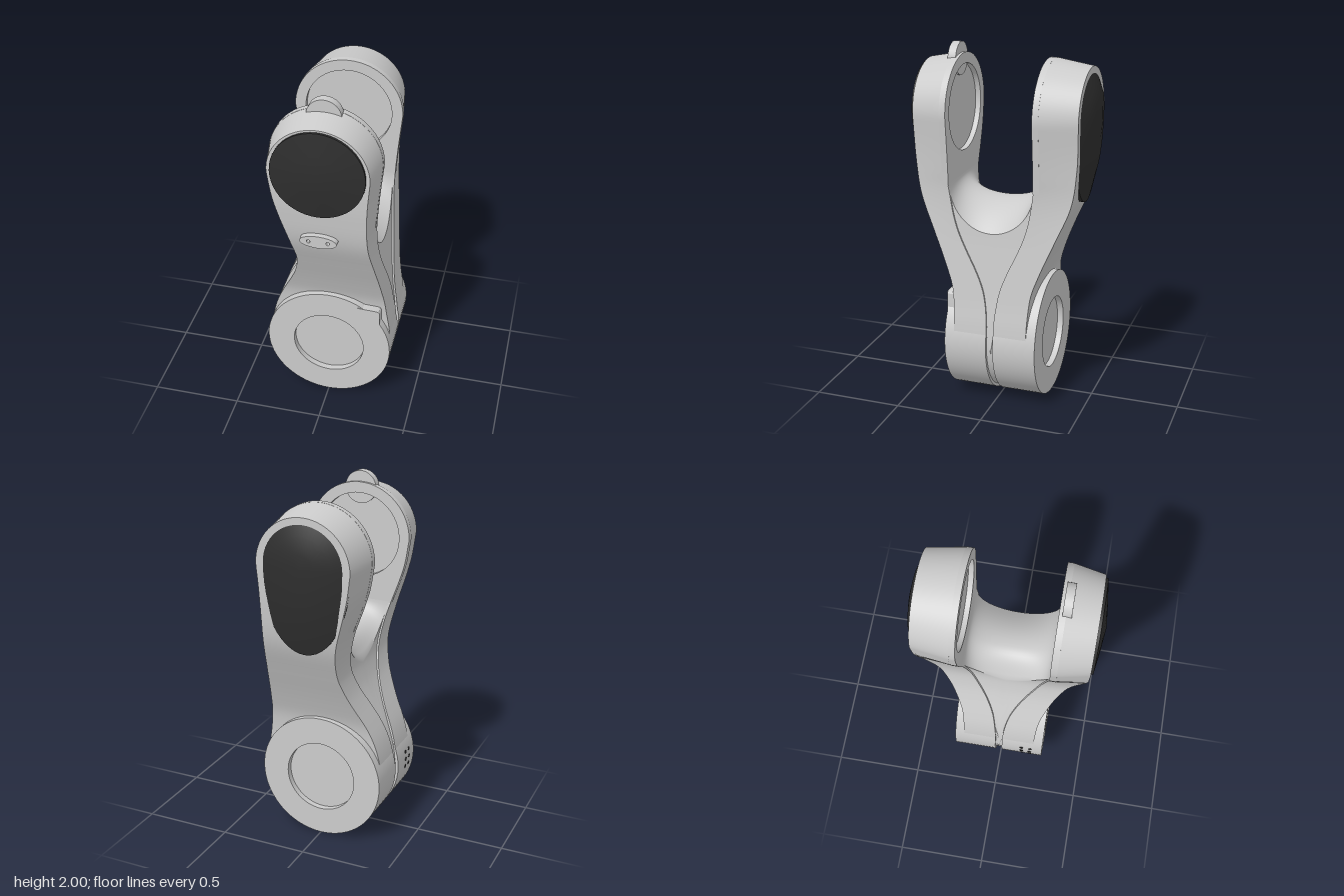
import * as THREE from 'three';
import { toCreasedNormals } from 'three/addons/utils/BufferGeometryUtils.js';

const grey = new THREE.MeshStandardMaterial({ color: 0xcccccc });
const black = new THREE.MeshStandardMaterial({ color: 0x2e2e2e });
const FOOT = 0.36, FOOT_R = 0.356, HEAD = 1.64, HEAD_R = 0.3;

// smooth interpolation through [position, value] pairs
function smooth(t, pts) {
  const n = pts.length - 1;
  if (t <= pts[0][0]) return pts[0][1];
  if (t >= pts[n][0]) return pts[n][1];
  let i = 0;
  while (t > pts[i + 1][0]) i++;
  const slope = k => {
    const a = pts[Math.max(k - 1, 0)], b = pts[Math.min(k + 1, n)];
    return (b[1] - a[1]) / (b[0] - a[0]);
  };
  const [t0, a] = pts[i], [t1, b] = pts[i + 1], h = t1 - t0, s = (t - t0) / h;
  const s2 = s * s, s3 = s2 * s;
  return a * (2 * s3 - 3 * s2 + 1) + b * (3 * s2 - 2 * s3)
    + h * (slope(i) * (s3 - 2 * s2 + s) + slope(i + 1) * (s3 - s2));
}

// half widths of the outline, thickness and seam, all by height
const NEG = [[0.36, 0.356], [0.5, 0.335], [0.6, 0.307], [0.7, 0.263], [0.8, 0.215], [0.9, 0.175], [1.03, 0.15], [1.2, 0.178], [1.4, 0.247], [1.5, 0.277], [1.64, 0.3]];
const POS = [[0.36, 0.356], [0.5, 0.343], [0.6, 0.328], [0.8, 0.303], [1, 0.28], [1.2, 0.268], [1.4, 0.278], [1.64, 0.3]];
const OUTER = [[0.5, 0.21], [0.6, 0.215], [0.7, 0.228], [0.8, 0.262], [0.9, 0.302], [1, 0.345], [1.2, 0.425], [1.4, 0.453], [1.6, 0.46]];
const SEAM = [[0.5, 0.02], [0.6, 0.03], [0.7, 0.05], [0.8, 0.09], [0.9, 0.14], [1, 0.185], [1.1, 0.215], [1.25, 0.24]];
const CORE_BASE = [[0, 0.3], [0.03, 0.5], [0.05, 0.6], [0.085, 0.7], [0.13, 0.8], [0.18, 0.9], [0.22, 1], [0.26, 1.1]];

function halfWidth(y, table) {
  if (y < FOOT) return Math.sqrt(Math.max(0, FOOT_R ** 2 - (FOOT - y) ** 2));
  if (y > HEAD) return Math.sqrt(Math.max(0, HEAD_R ** 2 - (y - HEAD) ** 2));
  return smooth(y, table);
}
const spanX = (u, y, inset = 0) => u < 0
  ? u * (halfWidth(y, NEG) - inset) : u * (halfWidth(y, POS) - inset);

// subdivided box whose vertices (-1..1) are moved by a rule
function warpedBox(nx, ny, nz, rule) {
  const g = new THREE.BoxGeometry(2, 2, 2, nx, ny, nz), p = g.attributes.position;
  for (let i = 0; i < p.count; i++) p.setXYZ(i, ...rule(p.getX(i), p.getY(i), p.getZ(i)));
  return toCreasedNormals(g, 0.6);
}

function add(parent, name, geometry, material = grey, x = 0, y = 0, z = 0) {
  const m = new THREE.Mesh(geometry, material);
  m.name = name;
  m.position.set(x, y, z);
  parent.add(m);
  return m;
}
const extrude = (shape, depth) => toCreasedNormals(
  new THREE.ExtrudeGeometry(shape, { depth, bevelEnabled: false, curveSegments: 32 }), 0.5);
const circle = (r, x = 0, y = 0) => new THREE.Path().absarc(x, y, r, 0, Math.PI * 2, true);
const turned = profile => toCreasedNormals(
  new THREE.LatheGeometry(profile.map(p => new THREE.Vector2(...p)), 48).rotateX(Math.PI / 2), 0.4);

// one outer shell of the fork; s = 1 front, -1 back
function shellGeometry(s, gap) {
  return warpedBox(14, 96, 2, (u, v, w) => {
    let y = 0.972 - 0.968 * Math.cos((v + 1) * Math.PI / 2);
    let x = spanX(u, y);
    const t = (1 + s * w) / 2;
    let inner = smooth(y, SEAM);
    inner = inner > 0.03 ? 0.03 + (inner - 0.03) * (gap - 0.03) / 0.21 : inner;
    inner += 0.03 * THREE.MathUtils.smoothstep(y, 1.25, 1.33);
    const draft = 1 - 0.11 * t * THREE.MathUtils.smoothstep(y, 0.9, 1.55);
    x *= draft;
    if (y > HEAD) y = HEAD + (y - HEAD) * draft;
    return [x, y, s * (inner + (smooth(y, OUTER) - inner) * t)];
  });
}

// inner cheek of a fork prong with its round recess
function cheekShape() {
  const pts = [], y0 = 1.26, top = HEAD + HEAD_R;
  const rows = Array.from({ length: 41 }, (_, i) => y0 + (top - y0) * Math.sin(i / 40 * Math.PI / 2));
  rows.forEach(y => pts.push(new THREE.Vector2(spanX(1, y), y)));
  rows.slice(0, -1).reverse().forEach(y => pts.push(new THREE.Vector2(spanX(-1, y), y)));
  const shape = new THREE.Shape(pts);
  shape.holes.push(circle(0.24, 0, HEAD));
  return shape;
}

export function createModel() {
  const model = new THREE.Group();
  model.name = 'forkedArmLink';

  for (const [s, side, gap] of [[1, 'front', 0.26], [-1, 'back', 0.22]]) {
    add(model, side + 'Shell', shellGeometry(s, gap));
    add(model, side + 'Cheek', extrude(cheekShape(), 0.035), grey, 0, 0, s > 0 ? gap : -gap - 0.035);

    // foot joint disc with a shallow socket
    const ring = new THREE.Shape().absarc(0, 0, 0.359, 0, Math.PI * 2);
    ring.holes.push(circle(0.205));
    add(model, side + 'FootDisc', extrude(ring, 0.243), grey, 0, FOOT, s > 0 ? 0.02 : -0.263);
    add(model, side + 'SocketFloor', new THREE.CylinderGeometry(0.21, 0.21, 0.2, 48).rotateX(Math.PI / 2),
      grey, 0, FOOT, s * 0.128);
  }

  // core between the shells, with the saddle on top
  add(model, 'saddleCore', warpedBox(20, 30, 32, (u, v, w) => {
    const bend = Math.sin(w * Math.PI / 2), z = 0.02 + 0.24 * bend;
    const low = 1.16 - 0.15 * u * u;
    const top = 1.27 - (1.27 - low) * Math.sqrt(Math.max(0, 1 - bend * bend));
    const base = smooth(Math.abs(z), CORE_BASE);
    const y = base + (top - base) * (v + 1) / 2;
    return [spanX(u, y, 0.01), y, z];
  }));
  add(model, 'footCore', new THREE.CylinderGeometry(0.342, 0.342, 0.1, 64).rotateX(Math.PI / 2), grey, 0, FOOT, 0);

  // round front cap
  add(model, 'frontCap', turned([[0.247, -0.03], [0.247, 0.018], [0.12, 0.035], [0, 0.048]]), black, 0, 1.65, 0.455);

  // egg-shaped back cap, stretched downwards
  const egg = turned([[0.262, -0.05], [0.262, 0.0], [0.17, 0.042], [0.08, 0.058], [0, 0.062]]);
  const p = egg.attributes.position;
  for (let i = 0; i < p.count; i++) if (p.getY(i) < 0) p.setY(i, p.getY(i) * 1.83);
  egg.rotateY(Math.PI);
  egg.deleteAttribute('normal');
  add(model, 'backCap', toCreasedNormals(egg, 0.4), black, 0, 1.645, -0.443);

  // small two-hole plate on the front
  const plate = new THREE.Shape().absellipse(0, 0, 0.1, 0.037, 0, Math.PI * 2);
  for (const x of [-0.052, 0.052]) plate.holes.push(circle(0.01, x));
  add(model, 'twoHolePlate', extrude(plate, 0.06), grey, 0, 1.24, 0.41);

  // lug on top of the front prong
  add(model, 'topLug', new THREE.CylinderGeometry(0.092, 0.092, 0.046, 32).rotateX(Math.PI / 2), grey, 0, 1.908, 0.3);

  // latch at the shoulder of the foot disc
  const latch = new THREE.Shape();
  latch.moveTo(0.17, 0.66);
  latch.lineTo(0.28, 0.655);
  latch.quadraticCurveTo(0.297, 0.652, 0.297, 0.635);
  latch.lineTo(0.297, 0.535);
  latch.quadraticCurveTo(0.18, 0.55, 0.17, 0.66);
  add(model, 'latch', extrude(latch, 0.08), grey, 0, 0, 0.187);

  // small pins on the rim of the front foot disc
  for (let i = 0; i < 6; i++) {
    const a = Math.PI - (Math.floor(i / 2) - 1) * 0.13;
    const pin = add(model, 'rimPin', new THREE.CylinderGeometry(0.011, 0.011, 0.012, 12), black,
      0.355 * Math.cos(a), FOOT + 0.355 * Math.sin(a), 0.14 + 0.05 * (i % 2));
    pin.rotation.z = a - Math.PI / 2;
  }
  return model;
}
